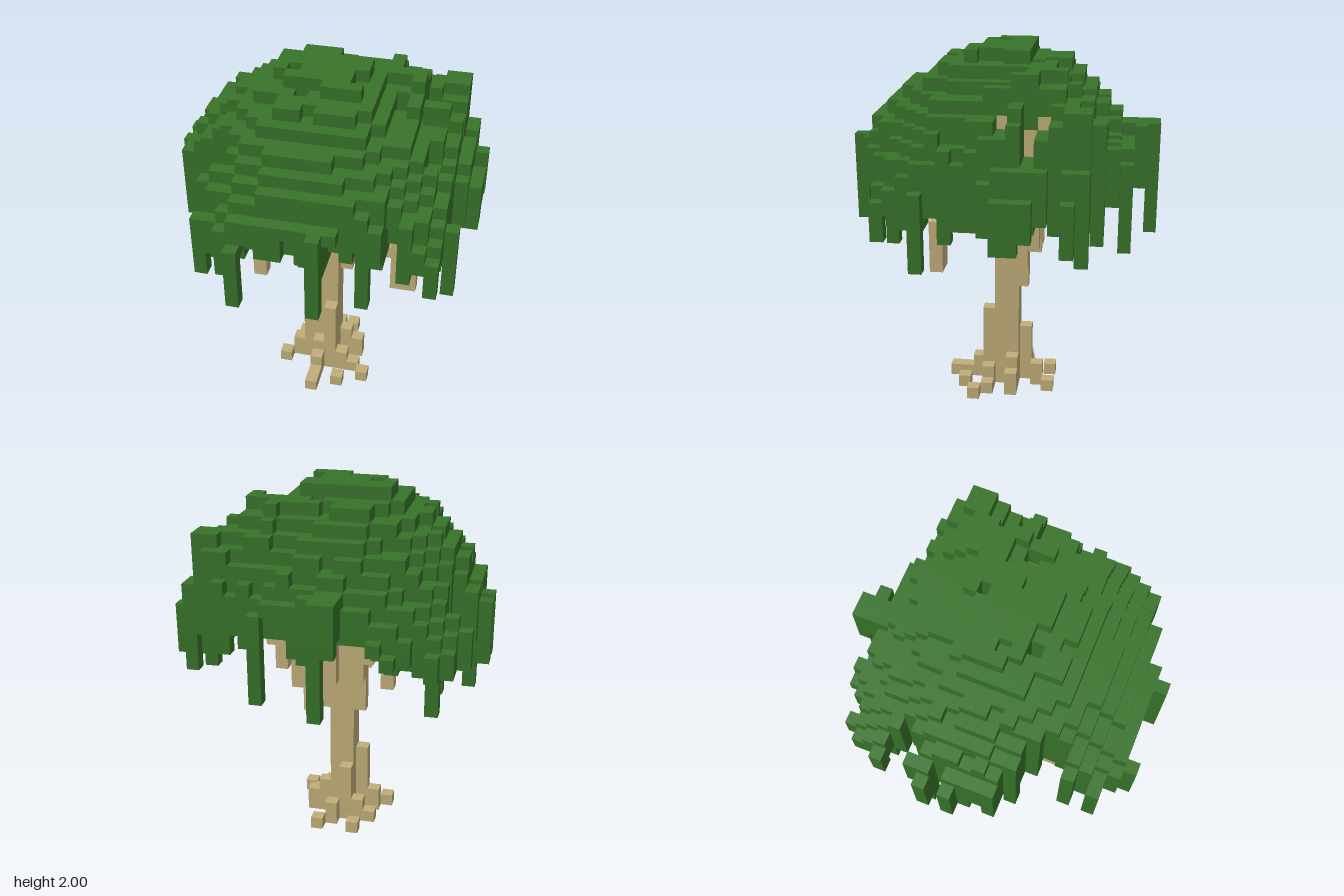
import * as THREE from 'three';

const U = 2 / 29; // block size; the tree is 24 x 29 x 24 blocks
const N = 24;

// Crown outline, one row per z from back to front: [first, last] column
const ROWS = [
  [10, 11], [5, 12], [3, 16], [2, 19], [2, 20], [1, 22], [3, 23], [4, 21],
  [1, 22], [0, 23], [2, 23], [0, 23], [1, 22], [1, 21], [1, 21], [3, 21],
  [5, 21], [6, 22], [6, 21], [4, 21], [5, 21], [4, 17], [6, 14], [7, 13],
];
// Gaps in the outline, as 'column,row'
const GAPS = new Set(['5,1', '8,1', '9,1', '4,2', '2,8', '13,9', '17,11', '10,14', '18,20',
  '8,23', '9,23', '10,23', '11,23', '12,23']);
// Highest block along each column and row, and lowest leaf of the skirt
const TOP_X = [21, 22, 24, 25, 26, 27, 27, 29, 29, 29, 29, 29, 29, 29, 29, 28, 28, 28, 28, 26, 26, 26, 22, 20];
const TOP_Z = [23, 23, 24, 24, 26, 27, 28, 28, 28, 28, 29, 29, 29, 29, 29, 29, 28, 27, 26, 26, 25, 25, 22, 22];
const LOW_X = [16, 16, 16, 16, 16, 17, 17, 18, 19, 19, 19, 19, 18, 18, 19, 19, 19, 18, 19, 17, 16, 16, 16, 16];
const LOW_Z = [16, 17, 16, 16, 16, 16, 16, 16, 16, 16, 16, 16, 16, 16, 16, 16, 17, 16, 17, 17, 16, 17, 17, 17];
// Mounds of the crown: [x, z, height, squared radius over a fall of nine blocks]
const MOUNDS = [[11.2, 12, 29.9, 146], [16.5, 9, 28.8, 60], [20, 5.5, 26.8, 24], [10.5, 0.5, 24.2, 24]];
// Hanging strands: [column, row, lowest block]
const STRANDS = [
  [7, 23, 15], [13, 23, 15], [22, 17, 14], [16, 20, 14], [16, 2, 14], [11, 0, 14], [1, 9, 14],
  [3, 15, 14], [3, 3, 14], [0, 9, 16], [0, 11, 16], [3, 5, 15], [4, 19, 16], [4, 21, 16],
  [23, 6, 16], [23, 10, 16], [20, 4, 16], [21, 20, 16], [22, 5, 15],
];

// Boxes of wood: [x0, x1, z0, z1, y0, y1], upper bounds exclusive
const TRUNK = [
  [11, 13, 11, 13, 0, 25],
  [10, 11, 12, 13, 0, 6], [12, 13, 13, 14, 0, 7], [11, 12, 10, 11, 0, 5], [11, 12, 13, 14, 0, 3],
];
const ROOTS = [
  [13, 14, 11, 12, 0, 3], [14, 15, 11, 12, 0, 2], [15, 16, 14, 15, 0, 1], [14, 15, 13, 14, 0, 1],
  [13, 14, 13, 14, 0, 2], [9, 10, 12, 13, 0, 2], [8, 9, 13, 14, 0, 1], [9, 10, 10, 11, 0, 1],
  [10, 11, 10, 11, 0, 2], [11, 12, 14, 15, 0, 2], [11, 12, 15, 16, 0, 1], [11, 12, 16, 17, 0, 1],
  [13, 14, 15, 16, 0, 1], [12, 13, 9, 10, 0, 2], [13, 14, 8, 9, 0, 1], [10, 11, 8, 9, 0, 1],
];
const BOUGHS = [
  [10, 11, 11, 12, 10, 20], [13, 14, 11, 12, 10, 20], [14, 15, 10, 11, 10, 21], [15, 16, 10, 11, 12, 17],
  [10, 11, 13, 14, 13, 20], [9, 10, 14, 15, 15, 20], [12, 13, 9, 10, 13, 21], [10, 11, 10, 11, 13, 20],
  [18, 19, 16, 17, 13, 20], [19, 20, 16, 17, 13, 17], [7, 8, 7, 8, 14, 20], [8, 9, 19, 20, 15, 20],
  [8, 9, 7, 9, 17, 22], [9, 10, 9, 10, 15, 20], [14, 15, 9, 10, 13, 20], [16, 17, 9, 10, 14, 17],
  [13, 18, 12, 13, 16, 17], [17, 18, 13, 17, 16, 17],
];
// Stepped limbs from the trunk into the crown: [x, z, y] start and end
const LIMBS = [
  [10, 10, 15, 7, 7, 18], [9, 14, 16, 8, 19, 17], [14, 10, 19, 18, 9, 22],
  [12, 9, 16, 13, 4, 19], [13, 13, 16, 14, 18, 20], [10, 12, 17, 5, 12, 20],
];
// Bare branch tips showing on the left side of the crown: [x, z, y]
const TIPS = [[18, 11, 24], [18, 8, 24], [18, 9, 22], [18, 9, 23]];

const key = (x, y, z) => x + N * (z + N * y);
const inside = (x, z) => {
  const r = ROWS[z];
  return !!r && x >= r[0] && x <= r[1] && !GAPS.has(x + ',' + z);
};

// Repeatable noise from 0 to 1
function noise(a, b) {
  const s = Math.sin(a * 127.1 + b * 311.7) * 43758.5453;
  return s - Math.floor(s);
}

function fill(map, [x0, x1, z0, z1, y0, y1], part) {
  for (let x = x0; x < x1; x++)
    for (let z = z0; z < z1; z++)
      for (let y = y0; y < y1; y++) map.set(key(x, y, z), { p: [x, y, z], part });
}

// Mounded crown with a bumpy top, a hollow underside and a ragged skirt
function fillCrown(map) {
  for (let z = 0; z < N; z++) {
    for (let x = 0; x < N; x++) {
      if (!inside(x, z)) continue;
      const dome = Math.max(...MOUNDS.map(([cx, cz, h, r2]) => h - (9 * ((x - cx) ** 2 + (z - cz) ** 2)) / r2));
      const rough = noise(x >> 1, z >> 1) * 0.9 + noise(x, z) * 0.8;
      const top = Math.max(19, Math.min(TOP_X[x], TOP_Z[z], Math.round(dome - rough)));
      let rim = 3;
      for (let a = -2; a <= 2; a++)
        for (let b = -2; b <= 2; b++)
          if (!inside(x + a, z + b)) rim = Math.min(rim, Math.max(Math.abs(a), Math.abs(b)));
      const low = Math.max(LOW_X[x], LOW_Z[z]);
      let bottom = Math.max(19, top - 5);
      if (rim === 1) bottom = low + Math.floor(noise(z, x) * 2.5);
      if (rim === 2) bottom = Math.max(low, 17 + Math.floor(noise(z, x) * 2));
      const strand = STRANDS.find((s) => s[0] === x && s[1] === z);
      if (strand) bottom = strand[2];
      fill(map, [x, x + 1, z, z + 1, Math.min(bottom, top - 1), top], 'crown');
    }
  }
}

function fillLimb(map, [x0, z0, y0, x1, z1, y1]) {
  const n = Math.max(Math.abs(x1 - x0), Math.abs(z1 - z0));
  for (let i = 0; i <= n; i++) {
    const t = i / n;
    const x = Math.round(x0 + (x1 - x0) * t);
    const z = Math.round(z0 + (z1 - z0) * t);
    const y = Math.round(y0 + (y1 - y0) * t);
    fill(map, [x, x + 1, z, z + 1, y, y + 2], 'branches');
  }
}

// Surface of one part: a square wherever a block has no neighbour
function skin(map, part) {
  const pos = [];
  const index = [];
  for (const block of map.values()) {
    if (block.part !== part) continue;
    for (let a = 0; a < 3; a++) {
      for (const s of [0, 1]) {
        const q = [...block.p];
        q[a] += s ? 1 : -1;
        const inGrid = q[0] >= 0 && q[0] < N && q[2] >= 0 && q[2] < N && q[1] >= 0;
        if (inGrid && map.has(key(...q))) continue;
        const n = pos.length / 3;
        for (const [u, v] of [[0, 0], [1, 0], [1, 1], [0, 1]]) {
          const c = [...block.p];
          c[a] += s;
          c[(a + 1) % 3] += u;
          c[(a + 2) % 3] += v;
          pos.push((c[0] - N / 2) * U, c[1] * U, (c[2] - N / 2) * U);
        }
        index.push(...(s ? [n, n + 1, n + 2, n, n + 2, n + 3] : [n, n + 2, n + 1, n, n + 3, n + 2]));
      }
    }
  }
  const g = new THREE.BufferGeometry();
  g.setAttribute('position', new THREE.Float32BufferAttribute(pos, 3));
  g.setIndex(index);
  g.computeVertexNormals();
  return g;
}

export function createModel() {
  const leaf = new THREE.MeshStandardMaterial({ name: 'leaf green', color: 0x38732a });
  const wood = new THREE.MeshStandardMaterial({ name: 'pale bark', color: 0xc1ae7a });

  const map = new Map();
  fillCrown(map);
  LIMBS.forEach((l) => fillLimb(map, l));
  BOUGHS.forEach((b) => fill(map, b, 'branches'));
  ROOTS.forEach((b) => fill(map, b, 'roots'));
  TRUNK.forEach((b) => fill(map, b, 'trunk'));

  // Open the leaves beside the bare tips
  for (const [x, z, y] of TIPS) {
    for (let i = x + 1; i < N; i++)
      for (let k = y; k < 30; k++) map.delete(key(i, k, z));
    fill(map, [x, x + 1, z, z + 1, y, y + 1], 'branches');
  }

  const model = new THREE.Group();
  model.name = 'tree';
  for (const [part, material] of [['crown', leaf], ['branches', wood], ['trunk', wood], ['roots', wood]]) {
    const mesh = new THREE.Mesh(skin(map, part), material);
    mesh.name = part;
    model.add(mesh);
  }
  return model;
}
